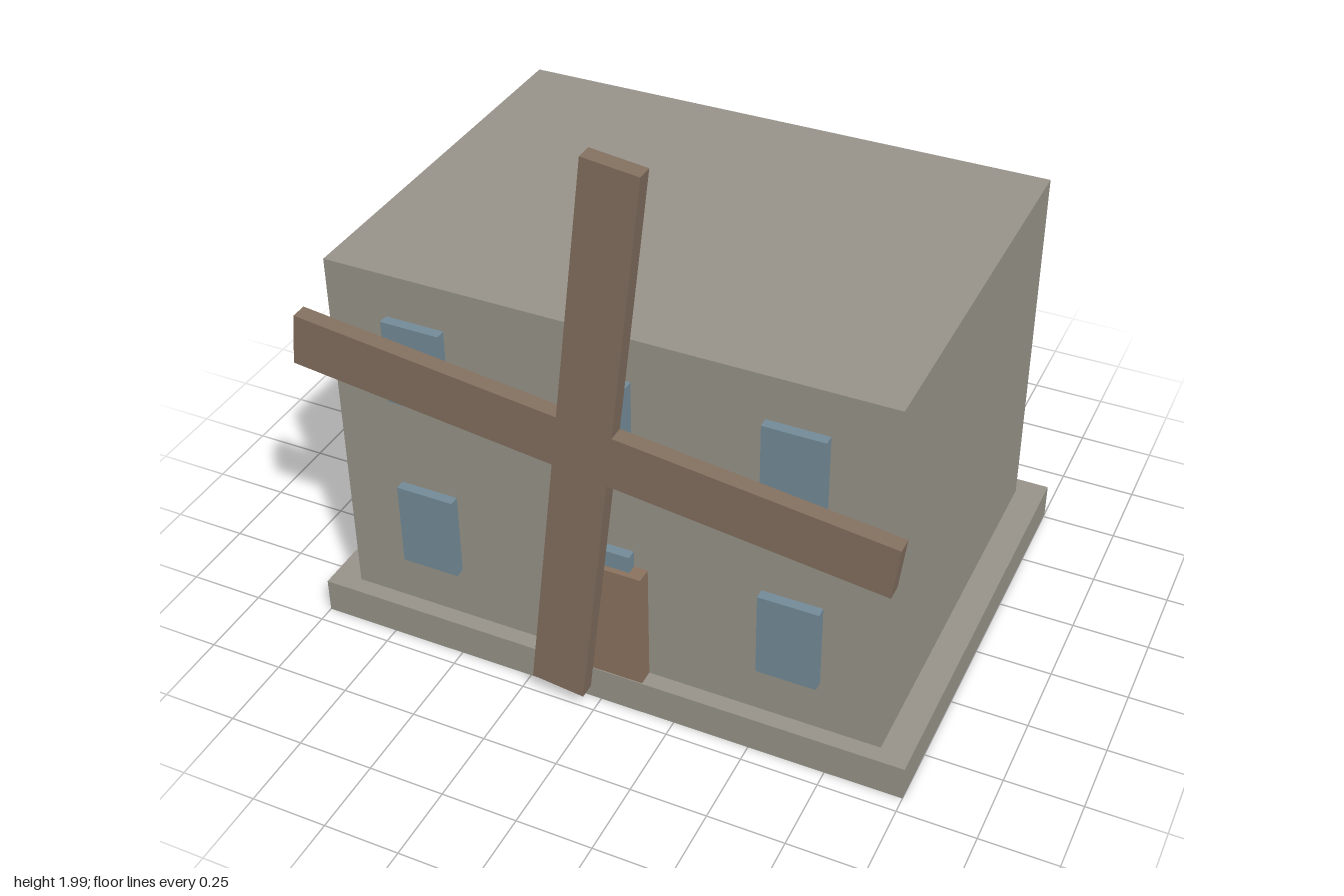
import * as THREE from 'three';

const material = (name, color) => {
  const m = new THREE.MeshStandardMaterial({ color });
  m.name = name;
  return m;
};

// Box given by its lower and upper limits on each axis
function block(name, mat, [x0, x1], [y0, y1], [z0, z1]) {
  const mesh = new THREE.Mesh(new THREE.BoxGeometry(x1 - x0, y1 - y0, z1 - z0), mat);
  mesh.position.set((x0 + x1) / 2, (y0 + y1) / 2, (z0 + z1) / 2);
  mesh.name = name;
  return mesh;
}

export function createModel() {
  const stone = material('stone', 0x98948a);
  const sailWood = material('sail wood', 0x83705f);
  const doorWood = material('door wood', 0x8c735f);
  const glass = material('window blue', 0x748d99);

  const model = new THREE.Group();
  model.name = 'windmill';

  // Plinth and main building
  model.add(block('plinth', stone, [-1, 1], [0, 0.12], [-0.765, 0.695]));
  model.add(block('building', stone, [-0.905, 0.905], [0.12, 1.36], [-0.7, 0.64]));

  // Door
  model.add(block('door', doorWood, [-0.142, 0.142], [0.12, 0.535], [0.64, 0.692]));

  // Two rows of three windows, front and back
  const windows = new THREE.Group();
  windows.name = 'windows';
  for (const [side, z] of [['front', [0.635, 0.673]], ['back', [-0.739, -0.695]]]) {
    for (const y of [[0.302, 0.593], [0.923, 1.213]]) {
      for (const x of [-0.607, 0, 0.607]) {
        windows.add(block(side + 'Window', glass, [x - 0.097, x + 0.097], y, z));
      }
    }
  }
  model.add(windows);

  // Sails: one tilted cross standing just off the front wall
  const r = 0.96, h = 0.088;
  const outline = [];
  for (let i = 0; i < 4; i++) {
    const a = (i * Math.PI) / 2;
    for (const [x, y] of [[r, -h], [r, h], [h, h]]) {
      outline.push(new THREE.Vector2(x, y).rotateAround(new THREE.Vector2(), a));
    }
  }
  const sails = new THREE.Mesh(
    new THREE.ExtrudeGeometry(new THREE.Shape(outline), { depth: 0.053, bevelEnabled: false }),
    sailWood
  );
  sails.name = 'sails';
  sails.position.set(0, 1.023, 0.712);
  sails.rotation.z = -0.119;
  model.add(sails);

  return model;
}
